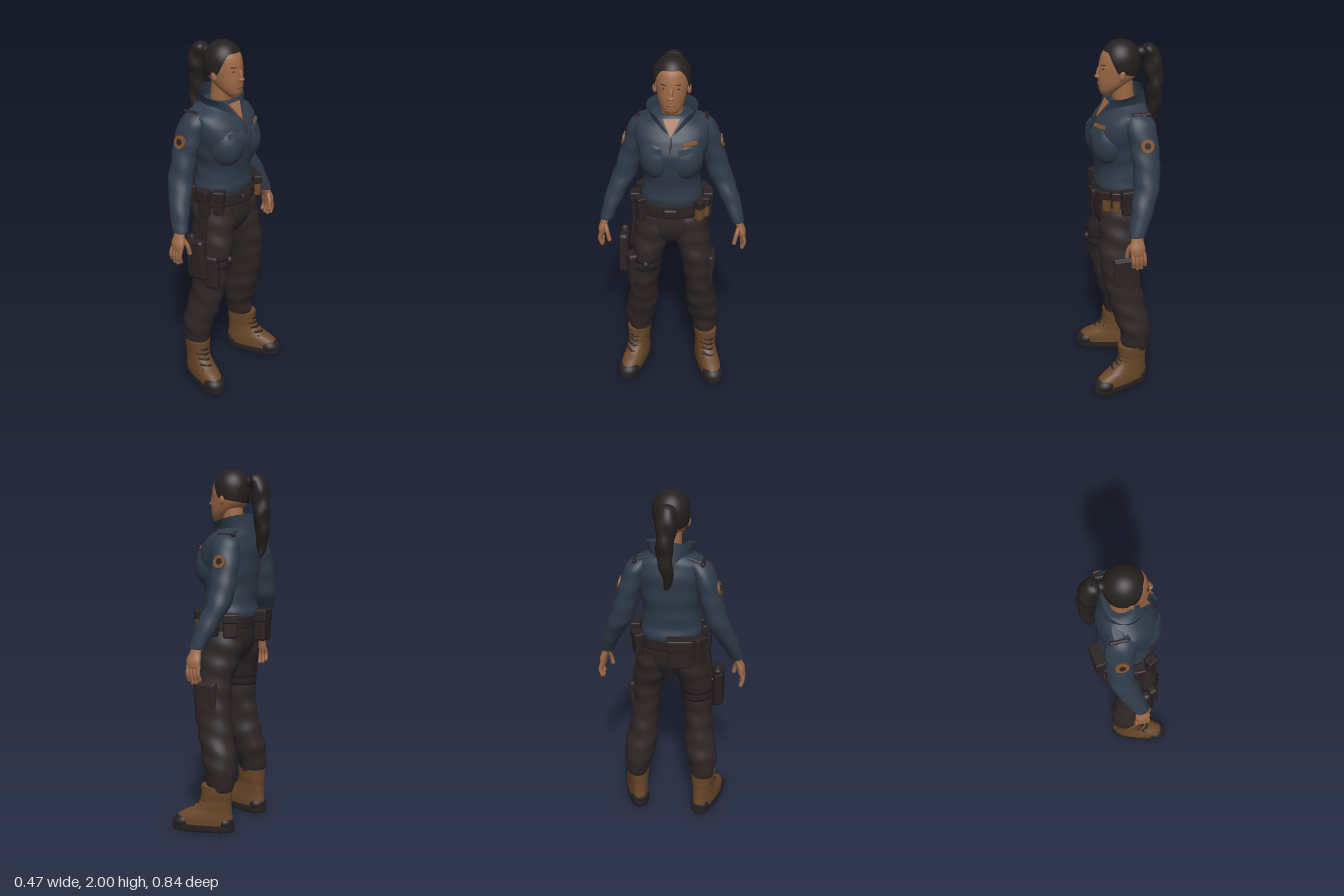
import * as THREE from 'three';
import { ParametricGeometry } from 'three/addons/geometries/ParametricGeometry.js';
import { RoundedBoxGeometry } from 'three/addons/geometries/RoundedBoxGeometry.js';

const mat = (name, color) => {
  const m = new THREE.MeshStandardMaterial({ color });
  m.name = name;
  return m;
};

// Monotone smooth interpolation through one column of a ring table
function sample(rings, k, t) {
  const n = rings.length - 1, i = Math.min(Math.floor(t), n - 1), f = t - i;
  const d = j => (j < 0 || j >= n ? 0 : rings[j + 1][k] - rings[j][k]);
  const slope = j => (d(j - 1) * d(j) <= 0 ? 0 : 2 * d(j - 1) * d(j) / (d(j - 1) + d(j)));
  const f2 = f * f, f3 = f2 * f;
  return rings[i][k] * (2 * f3 - 3 * f2 + 1) + rings[i + 1][k] * (3 * f2 - 2 * f3)
    + slope(i) * (f3 - 2 * f2 + f) + slope(i + 1) * (f3 - f2);
}

// Closed skin over horizontal rings [y, x, z, rx, rz], listed upwards; fold adds cloth wrinkles
function loft(rows, { power = 1, fold = 0, side = 1, steps = 5 } = {}) {
  const cap = r => [r[0], r[1], r[2], 0.002, 0.002];
  const rings = [cap(rows[0]), ...rows, cap(rows[rows.length - 1])];
  const bend = c => Math.sign(c) * Math.abs(c) ** power;
  return new ParametricGeometry((u, v, p) => {
    const t = Math.min(Math.max(v, 0), 1) * (rings.length - 1);
    const [y, x, z, rx, rz] = [0, 1, 2, 3, 4].map(k => sample(rings, k, t));
    const a = u * Math.PI * 2;
    const w = 1 + fold * (Math.sin(y * 55 + 2 * Math.cos(a) * side) + 0.6 * Math.sin(y * 31 + 3 * a));
    p.set(x + rx * w * bend(Math.cos(a)), y, side * z - rz * w * bend(Math.sin(a)));
  }, 32, (rings.length - 1) * steps);
}

export function createModel() {
  const model = new THREE.Group();
  model.name = 'officer';
  const jacket = mat('jacket blue', 0x2f3b49), trousers = mat('trouser brown', 0x2f2627);
  const skin = mat('skin', 0x9c6846), hair = mat('hair', 0x262020), gear = mat('gear', 0x2a2122);
  const boot = mat('boot leather', 0x694729), sole = mat('sole', 0x262122);
  const badge = mat('badge brown', 0x80522d), lip = mat('lip', 0x85513a);
  jacket.side = hair.side = THREE.DoubleSide;

  const add = (name, geo, material, pos = [0, 0, 0], rot = [0, 0, 0], scale = [1, 1, 1], parent = model) => {
    const m = new THREE.Mesh(geo, material);
    m.name = name;
    m.position.set(...pos);
    m.rotation.set(...rot);
    m.scale.set(...scale);
    parent.add(m);
  };
  const ball = new THREE.SphereGeometry(1, 24, 16);
  const box = (w, h, d, r = 0.012) => new RoundedBoxGeometry(w, h, d, 3, r);
  const tube = (pts, r) => new THREE.TubeGeometry(
    new THREE.CatmullRomCurve3(pts.map(p => new THREE.Vector3(...p))), 14, r, 8);

  // Torso, chest and belt line
  add('jacketBody', loft([
    [1.19, -0.005, 0, 0.138, 0.162], [1.22, -0.003, 0, 0.144, 0.17], [1.27, 0, 0, 0.137, 0.158],
    [1.34, 0.002, 0, 0.142, 0.152], [1.42, 0.006, 0, 0.155, 0.167], [1.5, 0.006, 0, 0.162, 0.184],
    [1.57, -0.008, 0, 0.15, 0.2], [1.62, -0.022, 0, 0.125, 0.195],
    [1.66, -0.032, 0, 0.1, 0.14], [1.69, -0.035, 0, 0.07, 0.075],
  ], { power: 0.9, fold: 0.009 }), jacket);
  add('pelvis', loft([
    [0.945, 0.01, 0, 0.08, 0.06], [0.98, 0.012, 0, 0.112, 0.115], [1.05, 0.008, 0, 0.136, 0.175],
    [1.12, 0.003, 0, 0.14, 0.18], [1.2, 0, 0, 0.13, 0.16],
  ], { power: 0.9 }), trousers);
  add('belt', loft([[1.13, 0.004, 0, 0.148, 0.185], [1.19, 0.003, 0, 0.148, 0.176]], { power: 0.9 }), gear);
  add('buckle', box(0.03, 0.055, 0.08), gear, [0.155, 1.16, 0]);

  // Open stand-up collar, lower and parted at the front
  add('collar', new ParametricGeometry((u, v, p) => {
    const gap = 0.05 + 0.62 * v, a = gap + u * (Math.PI * 2 - 2 * gap);
    const c = Math.cos(a), front = Math.max(c, 0) ** 3;
    p.set(-0.03 + (0.122 - 0.016 * v) * c + 0.015 * v + 0.022 * front * (1 - v),
      1.62 - 0.02 * front * (1 - v) + v * (0.105 - 0.03 * c),
      -(0.105 + 0.032 * v * v) * Math.sin(a));
  }, 48, 8), jacket);
  const opening = new THREE.Shape([[-0.045, 0.1], [0, 0], [0.045, 0.1]].map(p => new THREE.Vector2(...p)));
  const vee = new THREE.ExtrudeGeometry(opening, { depth: 0.006, bevelEnabled: false });
  vee.rotateX(-0.62).rotateY(Math.PI / 2);
  add('throat', vee, skin, [0.125, 1.597, 0]);
  add('zip', tube([[0.127, 1.597, 0], [0.147, 1.565, 0], [0.163, 1.53, 0]], 0.004), gear);
  add('neck', loft([[1.6, -0.03, 0, 0.065, 0.065], [1.68, -0.02, 0, 0.06, 0.057],
    [1.79, -0.008, 0, 0.058, 0.057]]), skin);

  // Head and face
  add('head', loft([
    [1.715, 0.07, 0, 0.025, 0.025], [1.732, 0.063, 0, 0.045, 0.043], [1.77, 0.036, 0, 0.079, 0.066],
    [1.82, 0.01, 0, 0.105, 0.08], [1.87, 0.003, 0, 0.107, 0.086], [1.92, -0.002, 0, 0.1, 0.085],
    [1.96, -0.008, 0, 0.073, 0.068], [1.983, -0.01, 0, 0.03, 0.03],
  ]), skin);
  add('noseBridge', tube([[0.105, 1.862, 0], [0.115, 1.84, 0], [0.12, 1.815, 0]], 0.01), skin);
  add('noseTip', ball, skin, [0.119, 1.813, 0], [0, 0, 0], [0.015, 0.011, 0.018]);
  add('mouth', ball, lip, [0.11, 1.773, 0], [0, 0, 0], [0.01, 0.008, 0.024]);

  // Hair with a hairline that drops behind the temples, tied into a ponytail
  add('hairCap', new ParametricGeometry((u, v, p) => {
    const a = u * Math.PI * 2, c = Math.cos(a);
    const edge = 1.06 + 1.1 * (1 - THREE.MathUtils.smoothstep(c, 0.25, 0.92)) + 0.25 * Math.max(-c, 0);
    const t = edge * (1 - v) + 0.002;
    const r = t < Math.PI / 2 ? Math.sin(t) : 1 - 0.16 * (t - Math.PI / 2) ** 2;
    p.set(-0.007 + 0.105 * r * c, 1.892 + 0.108 * Math.cos(t), -0.099 * r * Math.sin(a));
  }, 64, 24), hair);
  add('hairTie', ball, hair, [-0.118, 1.925, 0], [0, 0, 0], [0.035, 0.03, 0.03]);
  add('ponytail', loft([
    [1.52, -0.183, 0, 0.008, 0.01], [1.57, -0.186, 0.01, 0.026, 0.025], [1.65, -0.195, 0, 0.038, 0.036],
    [1.75, -0.192, -0.008, 0.044, 0.045], [1.85, -0.183, 0, 0.05, 0.052],
    [1.92, -0.17, 0, 0.047, 0.052], [1.955, -0.16, 0, 0.034, 0.037], [1.968, -0.158, 0, 0.012, 0.012],
  ], { fold: 0.07 }), hair);

  for (const s of [1, -1]) {
    const side = s > 0 ? 'right' : 'left';
    const put = (name, geo, material, p = [0, 0, 0], r = [0, 0, 0], sc) =>
      add(side + name, geo, material, [p[0], p[1], p[2] * s], [r[0] * s, r[1] * s, r[2]], sc);

    // Face details
    put('Eye', ball, hair, [0.098, 1.857, 0.036], [0, -0.4, 0], [0.004, 0.0035, 0.011]);
    put('Brow', ball, hair, [0.0975, 1.878, 0.038], [-0.1, -0.4, 0], [0.004, 0.0025, 0.018]);
    put('Ear', ball, skin, [0.008, 1.828, 0.089], [0, 0, 0.2], [0.016, 0.028, 0.012]);

    // Chest, sleeve and shoulder tab
    put('Chest', ball, jacket, [0.07, 1.465, 0.07], [0, -0.15, 0], [0.104, 0.125, 0.1]);
    put('PocketFlap', box(0.008, 0.03, 0.09, 0.003), jacket, [0.153, 1.535, 0.085], [0, -0.42, 0.3]);
    put('Sleeve', loft([
      [1.05, 0.006, 0.366, 0.042, 0.034], [1.1, -0.012, 0.35, 0.052, 0.044], [1.2, -0.045, 0.31, 0.063, 0.056],
      [1.3, -0.076, 0.262, 0.07, 0.067], [1.4, -0.08, 0.234, 0.072, 0.063], [1.5, -0.075, 0.206, 0.078, 0.061],
      [1.58, -0.062, 0.182, 0.08, 0.062], [1.625, -0.056, 0.158, 0.066, 0.056], [1.65, -0.05, 0.125, 0.04, 0.05],
    ], { side: s, fold: 0.025 }), jacket);
    put('SleeveCuff', loft([[1.045, 0.007, 0.368, 0.043, 0.036], [1.065, 0.001, 0.362, 0.046, 0.039]],
      { side: s }), jacket);
    put('SleeveBadge', new THREE.CylinderGeometry(0.036, 0.036, 0.012, 24), badge,
      [-0.075, 1.5, 0.268], [1.3, 0, 0]);
    put('SleeveEmblem', new THREE.CylinderGeometry(0.018, 0.018, 0.016, 8), gear,
      [-0.075, 1.5, 0.268], [1.3, 0, 0]);
    put('ShoulderTab', box(0.06, 0.016, 0.1, 0.007), jacket, [-0.07, 1.65, 0.145], [0.35, 0, 0]);
    put('ShoulderBar', box(0.105, 0.022, 0.022, 0.01), gear, [-0.07, 1.64, 0.18], [0.3, 0, 0]);

    // Hand with four fingers and a thumb
    put('Palm', loft([
      [0.945, 0.01, 0.398, 0.036, 0.017], [0.98, 0.012, 0.395, 0.042, 0.022],
      [1.02, 0.01, 0.381, 0.034, 0.022], [1.07, 0.002, 0.364, 0.026, 0.023],
    ], { side: s }), skin);
    for (let i = 0; i < 4; i++) {
      const x = -0.022 + i * 0.021, end = 0.865 + 0.014 * Math.abs(i - 1.6);
      put('Finger' + i, tube([[x, 0.96, s * 0.4], [x - 0.003, 0.915, s * 0.41],
        [x - 0.006, end, s * 0.4]], 0.011), skin);
      put('Fingertip' + i, ball, skin, [x - 0.006, end, 0.4], [0, 0, 0], [0.011, 0.014, 0.011]);
    }
    put('Thumb', tube([[0.03, 1.01, s * 0.376], [0.052, 0.97, s * 0.363], [0.058, 0.925, s * 0.353]], 0.012), skin);
    put('ThumbTip', ball, skin, [0.058, 0.925, 0.353], [0, 0, 0], [0.012, 0.015, 0.012]);

    // Trouser leg with baggy lower half
    put('TrouserLeg', loft([
      [0.23, -0.04, 0.198, 0.06, 0.054], [0.27, -0.04, 0.198, 0.082, 0.066], [0.33, -0.038, 0.195, 0.086, 0.08],
      [0.41, -0.026, 0.184, 0.096, 0.092], [0.5, -0.002, 0.17, 0.1, 0.088], [0.6, 0.018, 0.163, 0.103, 0.079],
      [0.7, 0.034, 0.154, 0.106, 0.082], [0.82, 0.04, 0.143, 0.112, 0.088],
      [0.95, 0.02, 0.115, 0.125, 0.1], [1.05, 0.01, 0.1, 0.131, 0.1], [1.12, 0.005, 0.09, 0.125, 0.09],
    ], { side: s, fold: 0.026 }), trousers);

    // Boot, toes turned out
    const foot = new THREE.Group();
    foot.name = side + 'Boot';
    foot.position.set(s > 0 ? 0 : 0.015, 0, s * 0.212);
    foot.rotation.y = -s * 0.3;
    model.add(foot);
    const fit = (name, geo, m, p, r, sc) => add(name, geo, m, p, r, sc, foot);
    fit('sole', loft([[0, 0.042, 0, 0.172, 0.06], [0.015, 0.043, 0, 0.178, 0.067],
      [0.04, 0.043, 0, 0.176, 0.066]], { power: 0.78 }), sole);
    fit('upper', loft([
      [0.035, 0.04, 0, 0.167, 0.061], [0.07, 0.037, 0, 0.164, 0.062], [0.1, 0.02, 0, 0.142, 0.06],
      [0.13, -0.008, 0, 0.112, 0.057], [0.17, -0.028, 0, 0.09, 0.057],
      [0.22, -0.035, 0, 0.086, 0.063], [0.262, -0.035, 0, 0.088, 0.066],
    ], { power: 0.85 }), boot);
    fit('toeCap', ball, sole, [0.156, 0.05, 0], [0, 0, -0.2], [0.062, 0.043, 0.062]);
    fit('heelCap', ball, sole, [-0.085, 0.05, 0], [0, 0, 0], [0.045, 0.04, 0.056]);
    [[0.122, 0.108], [0.1, 0.132], [0.073, 0.16], [0.06, 0.19], [0.056, 0.22]].forEach(([x, y], i) =>
      fit('lace' + i, tube([[x - 0.035, y - 0.012, -0.046], [x - 0.002, y, 0], [x - 0.035, y + 0.008, 0.046]],
        0.007), sole));
  }

  // Name plate on the left chest
  add('namePlate', box(0.008, 0.022, 0.085, 0.003), badge, [0.136, 1.572, -0.1], [0, 0.5, 0.35]);

  // Belt pouches: x, y, z, width, height, depth, turn, material
  [
    [-0.165, 1.14, 0.07, 0.065, 0.17, 0.13, 0.15, gear], [-0.11, 1.15, 0.165, 0.07, 0.13, 0.05, -0.6, gear],
    [0.03, 1.155, 0.2, 0.065, 0.15, 0.045, 0, gear], [0.105, 1.165, 0.165, 0.055, 0.135, 0.045, 0.5, gear],
    [0.01, 1.16, -0.2, 0.065, 0.14, 0.045, 0, gear], [0.07, 1.165, -0.188, 0.042, 0.12, 0.04, -0.3, boot],
    [0.115, 1.165, -0.155, 0.042, 0.12, 0.04, -0.7, boot], [-0.09, 1.15, -0.175, 0.08, 0.13, 0.045, 0.5, gear],
  ].forEach(([x, y, z, w, h, d, turn, m], i) => {
    add('beltPouch' + i, box(w, h, d), m, [x, y, z], [0, turn, 0]);
    add('pouchFlap' + i, box(w + 0.008, h * 0.4, d + 0.01, 0.008), gear, [x, y + h * 0.32, z], [0, turn, 0]);
  });

  // Thigh holster on the right leg
  add('holsterHanger', box(0.06, 0.22, 0.02, 0.008), gear, [0.03, 1.0, 0.215], [-0.12, 0, 0]);
  add('holster', box(0.125, 0.24, 0.06, 0.024), gear, [0.035, 0.845, 0.27], [0, 0, 0.1]);
  add('holsterGrip', box(0.06, 0.1, 0.04, 0.016), gear, [0.0, 0.935, 0.268], [0, 0, 0.35]);
  add('thighPouch', box(0.085, 0.2, 0.06, 0.02), gear, [0.1, 0.765, 0.22], [0, 0.35, 0.05]);
  [0.795, 0.84].forEach((y, i) => add('thighStrap' + i, loft([
    [y - 0.014, 0.04, 0.146, 0.12, 0.094], [y + 0.014, 0.04, 0.143, 0.121, 0.095]], { steps: 2 }), gear));
  add('strapKnob', ball, gear, [0.16, 0.825, 0.14], [0, 0, 0], [0.02, 0.024, 0.02]);

  // Cargo pocket on the left thigh
  add('cargoPocket', box(0.12, 0.17, 0.03), trousers, [0.035, 0.75, -0.226], [-0.1, 0, 0]);
  add('cargoFlap', box(0.128, 0.05, 0.036), trousers, [0.035, 0.82, -0.222], [-0.1, 0, 0]);
  return model;
}
